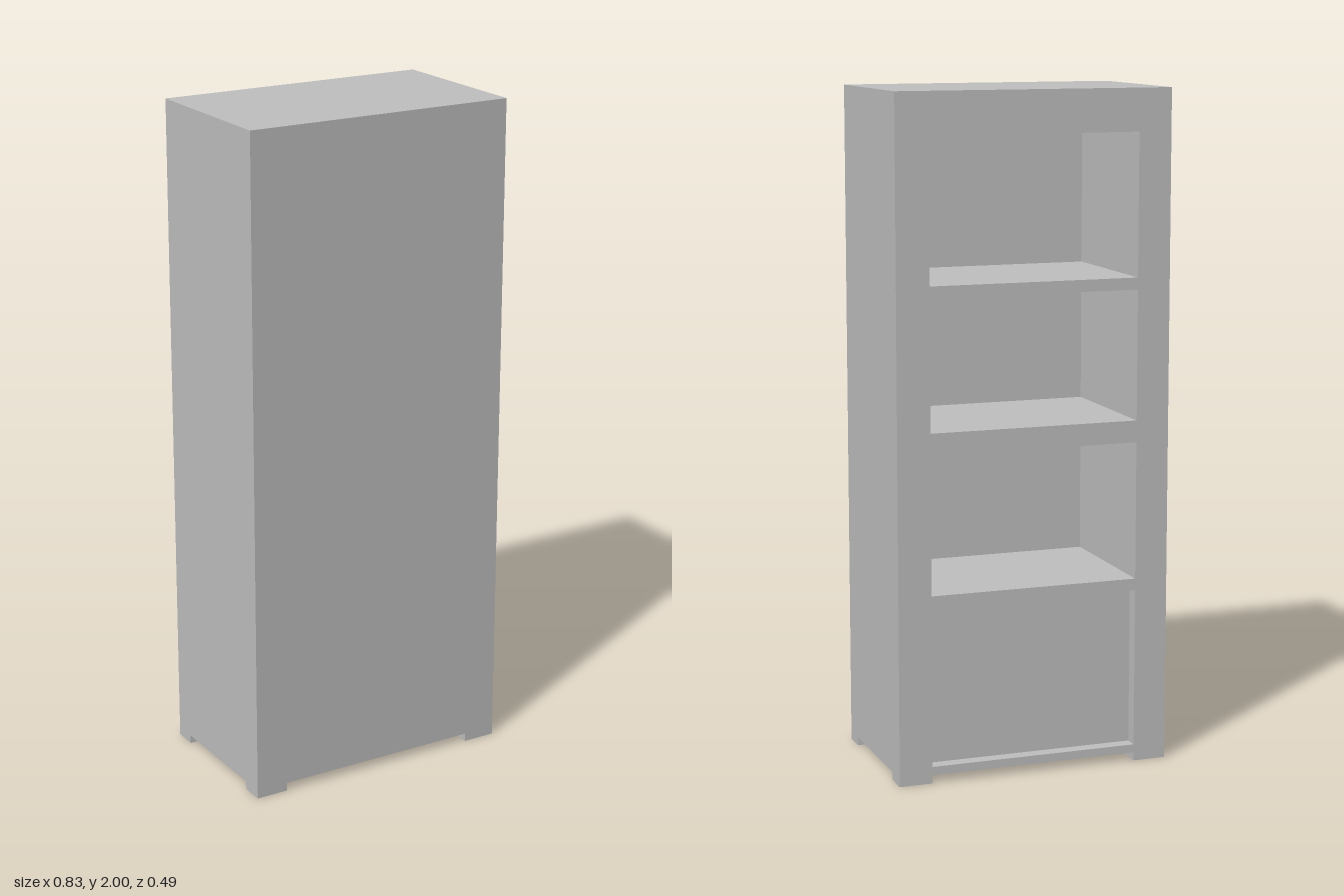
import * as THREE from 'three';

export function createModel() {
  const model = new THREE.Group();
  const grey = new THREE.MeshStandardMaterial({ color: 0xc0c0c0 });
  grey.name = 'light grey';

  // Box given by its extents on each axis
  const box = (name, [x0, x1], [y0, y1], [z0, z1]) => {
    const mesh = new THREE.Mesh(new THREE.BoxGeometry(x1 - x0, y1 - y0, z1 - z0), grey);
    mesh.position.set((x0 + x1) / 2, (y0 + y1) / 2, (z0 + z1) / 2);
    mesh.name = name;
    model.add(mesh);
  };

  const X = 0.417, Z = 0.247, inner = 0.317, base = 0.025, height = 2;
  const wall = 0.197;          // inner face of the closed front wall
  const span = [-inner, inner];

  // Thick sides and corner feet
  for (const s of [-1, 1]) {
    const side = s > 0 ? [inner, X] : [-X, -inner];
    box(s > 0 ? 'leftSide' : 'rightSide', side, [base, height], [-Z, Z]);
    box('frontFoot', side, [0, base], [0.177, Z]);
    box('backFoot', side, [0, base], [-Z, -0.177]);
  }

  // Closed front wall
  box('frontWall', span, [base, height], [wall, Z]);

  // Bottom, shelves and top, open towards the back
  const boards = [
    ['bottom', base, 0.05],
    ['lowerShelf', 0.525, 0.56],
    ['middleShelf', 0.97, 1.035],
    ['upperShelf', 1.42, 1.455],
    ['top', 1.875, height],
  ];
  for (const [name, y0, y1] of boards) box(name, span, [y0, y1], [-Z, wall]);

  // Recessed panel closing the lowest compartment
  box('lowerPanel', span, [0.05, 0.525], [-0.206, -0.17]);

  return model;
}
